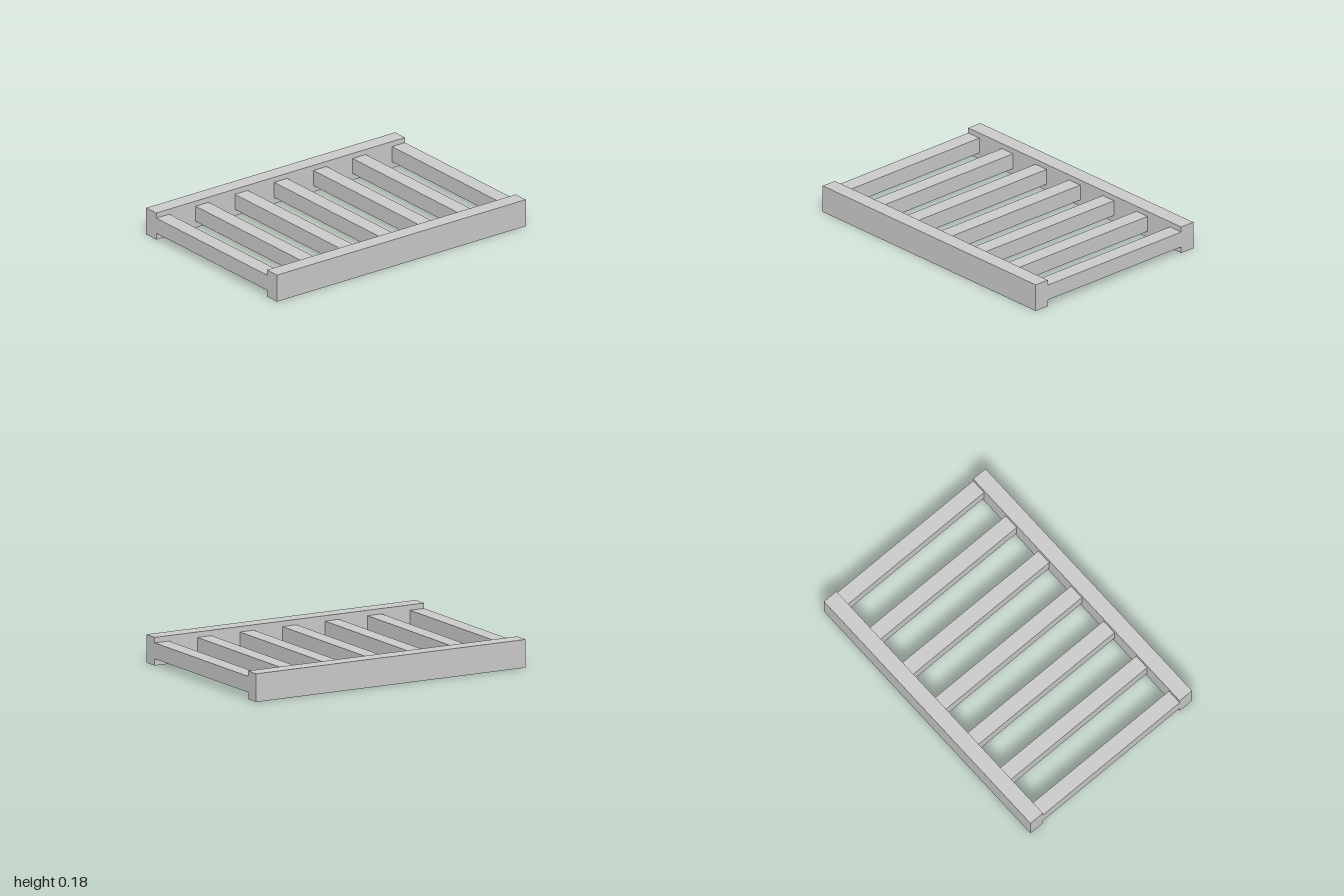
import * as THREE from 'three';

const LENGTH = 2, HALF_WIDTH = 0.684;
const BEAM = 0.105, RAIL_HEIGHT = 0.184;
const RUNG_COUNT = 7, RUNG_Y = 0.096;

export function createModel() {
  const model = new THREE.Group();
  model.name = 'ladderFrame';
  const material = new THREE.MeshStandardMaterial({ color: 0xcccccc, flatShading: true });

  const addBox = (name, size, position) => {
    const mesh = new THREE.Mesh(new THREE.BoxGeometry(...size), material);
    mesh.name = name;
    mesh.position.set(...position);
    model.add(mesh);
  };

  // Side rails
  for (const [name, side] of [['leftRail', 1], ['rightRail', -1]]) {
    addBox(name, [BEAM, RAIL_HEIGHT, LENGTH], [side * (HALF_WIDTH - BEAM / 2), RAIL_HEIGHT / 2, 0]);
  }

  // Evenly spaced rungs, the end ones flush with the rail ends
  const rungLength = 2 * (HALF_WIDTH - BEAM);
  const spacing = (LENGTH - BEAM) / (RUNG_COUNT - 1);
  for (let i = 0; i < RUNG_COUNT; i++) {
    const z = (i - (RUNG_COUNT - 1) / 2) * spacing;
    addBox(`rung${i + 1}`, [rungLength, BEAM, BEAM], [0, RUNG_Y, z]);
  }
  return model;
}
